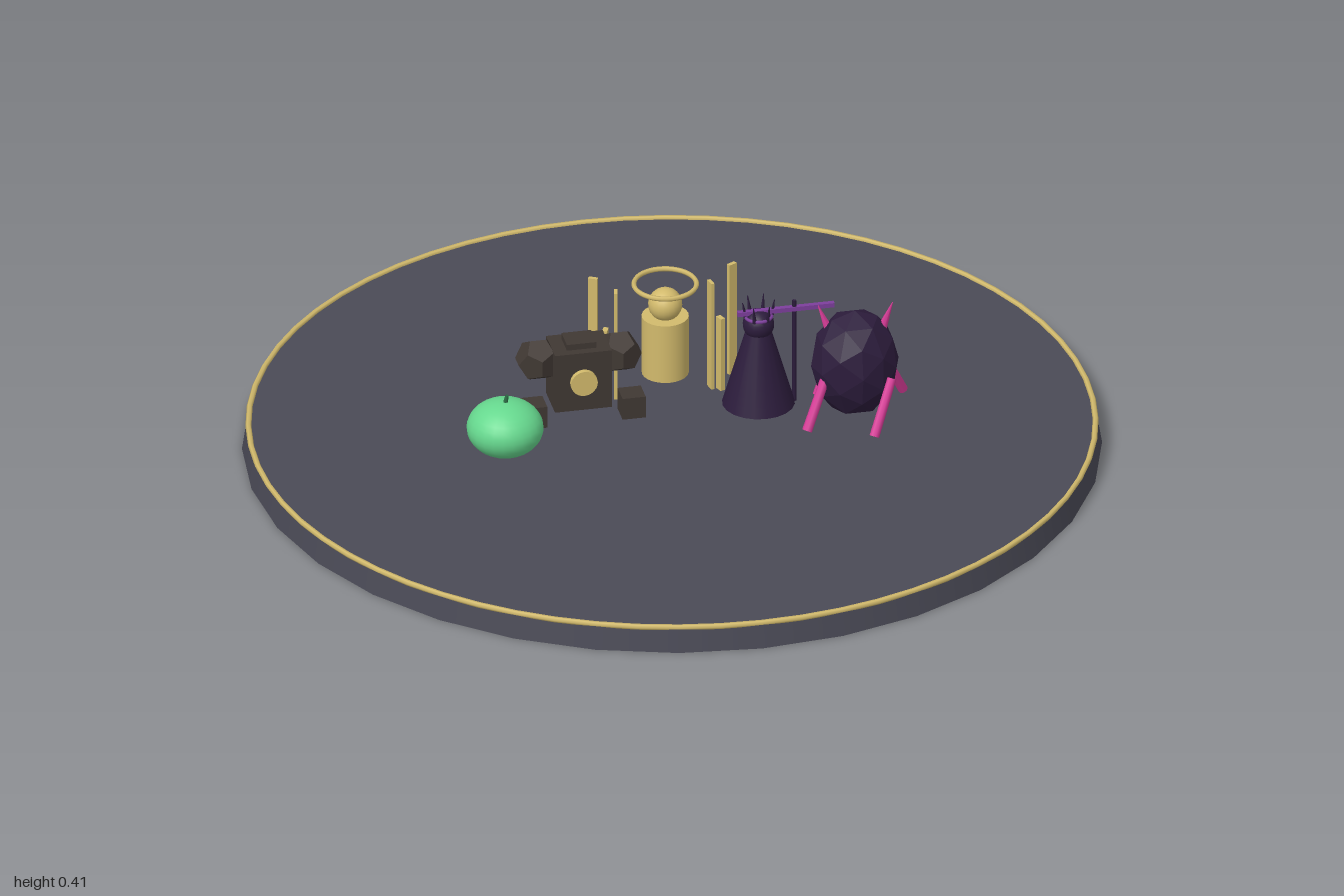
import * as THREE from 'three';

const mat = (name, color, extra = {}) => {
  const m = new THREE.MeshStandardMaterial({ color, ...extra });
  m.name = name;
  return m;
};

export function createModel() {
  const root = new THREE.Group();
  root.name = 'figureDisplay';
  const slate = mat('slate', 0x4a4a56);
  const gold = mat('gold', 0xd2ba6c);
  const green = mat('green', 0x66d88e);
  const darkGreen = mat('darkGreen', 0x2c6a44);
  const stone = mat('stone', 0x403833, { flatShading: true });
  const robe = mat('darkPurple', 0x2c1c3c);
  const shell = mat('shellPurple', 0x2c1c3c, { flatShading: true });
  const violet = mat('violet', 0x7d3f9c);
  const pink = mat('pink', 0xd83c98);

  const group = (name) => {
    const g = new THREE.Group();
    g.name = name;
    root.add(g);
    return g;
  };
  const add = (parent, name, geo, material, x, y, z) => {
    const m = new THREE.Mesh(geo, material);
    m.name = name;
    m.position.set(x, y, z);
    parent.add(m);
    return m;
  };
  const box = (w, h, d) => new THREE.BoxGeometry(w, h, d);
  // Tapered rod from point a to point b
  const rod = (parent, name, material, a, b, ra, rb, sides = 6) => {
    const p = new THREE.Vector3(...a), q = new THREE.Vector3(...b);
    const dir = q.clone().sub(p);
    const m = add(parent, name, new THREE.CylinderGeometry(rb, ra, dir.length(), sides), material, 0, 0, 0);
    m.position.copy(p).add(q).multiplyScalar(0.5);
    m.quaternion.setFromUnitVectors(new THREE.Vector3(0, 1, 0), dir.normalize());
    return m;
  };

  // Round base with a gold rim
  const base = group('base');
  add(base, 'disc', new THREE.CylinderGeometry(0.99, 1, 0.06, 32), slate, 0, 0.03, 0);
  const rim = add(base, 'rim', new THREE.TorusGeometry(0.985, 0.007, 6, 64), gold, 0, 0.06, 0);
  rim.rotation.x = Math.PI / 2;

  // Green blob with a small stem
  const blob = group('blob');
  add(blob, 'blobBody', new THREE.SphereGeometry(0.09, 24, 16), green, -0.41, 0.128, 0.06).scale.y = 0.75;
  rod(blob, 'stem', darkGreen, [-0.41, 0.19, 0.06], [-0.405, 0.212, 0.06], 0.006, 0.004);

  // Stone guardian
  const guardian = group('stoneGuardian');
  add(guardian, 'torso', box(0.135, 0.15, 0.1), stone, -0.215, 0.205, -0.03);
  add(guardian, 'head', box(0.07, 0.05, 0.06), stone, -0.215, 0.27, -0.03);
  for (const s of [-1, 1]) {
    add(guardian, 'shoulder', new THREE.DodecahedronGeometry(0.054, 0), stone, -0.215 + s * 0.096, 0.245, -0.035);
    add(guardian, 'fist', box(0.055, 0.055, 0.055), stone, -0.215 + s * 0.117, 0.13, 0.01);
  }
  const core = add(guardian, 'core', new THREE.CylinderGeometry(0.032, 0.032, 0.02, 16), gold, -0.215, 0.205, 0.022);
  core.rotation.x = Math.PI / 2;

  // Golden winged figure with a halo
  const angel = group('wingedFigure');
  const az = -0.075;
  add(angel, 'robe', new THREE.CylinderGeometry(0.055, 0.055, 0.15, 24), gold, 0, 0.23, az);
  add(angel, 'head', new THREE.SphereGeometry(0.04, 20, 14), gold, 0, 0.335, az);
  const halo = add(angel, 'halo', new THREE.TorusGeometry(0.073, 0.006, 6, 40), gold, 0, 0.388, az);
  halo.rotation.x = Math.PI / 2;
  for (const s of [-1, 1]) {
    // Three upright feathers per wing
    add(angel, 'tallFeather', box(0.022, 0.29, 0.01), gold, s * 0.165, 0.262, -0.105).rotation.y = s * 0.5;
    add(angel, 'shortFeather', box(0.012, 0.19, 0.02), gold, s * 0.137, 0.175, -0.1).rotation.y = s * 0.4;
    add(angel, 'innerFeather', box(0.008, 0.28, 0.024), gold, s * 0.113, 0.23, -0.095).rotation.y = s * 0.2;
  }

  // Robed figure with a spiked crown and a scythe
  const queen = group('robedFigure');
  const qx = 0.21, qz = -0.02;
  add(queen, 'robe', new THREE.CylinderGeometry(0.03, 0.085, 0.19, 20), robe, qx, 0.175, qz);
  add(queen, 'head', new THREE.SphereGeometry(0.037, 18, 12), robe, qx, 0.287, qz);
  const crown = add(queen, 'crown', new THREE.TorusGeometry(0.031, 0.004, 6, 24), violet, qx, 0.308, qz);
  crown.rotation.x = Math.PI / 2;
  for (let i = 0; i < 6; i++) {
    const a = i * Math.PI / 3, c = Math.cos(a), s = Math.sin(a);
    rod(queen, 'crownSpike', robe, [qx + c * 0.03, 0.305, qz + s * 0.03], [qx + c * 0.038, 0.347, qz + s * 0.038], 0.006, 0.001, 5);
  }
  rod(queen, 'staff', robe, [0.295, 0.075, qz], [0.295, 0.34, qz], 0.005, 0.005);
  add(queen, 'blade', box(0.23, 0.011, 0.012), violet, 0.275, 0.319, qz);

  // Faceted shell creature with horns and slanted legs
  const beast = group('shellCreature');
  add(beast, 'shell', new THREE.IcosahedronGeometry(0.104, 1), shell, 0.425, 0.197, 0.045).scale.set(1, 1.3, 0.92);
  rod(beast, 'horn', pink, [0.365, 0.285, 0.03], [0.342, 0.345, 0.025], 0.011, 0.001);
  rod(beast, 'horn', pink, [0.49, 0.285, 0.05], [0.513, 0.35, 0.055], 0.011, 0.001);
  const legs = [
    [[0.35, 0.19, 0.08], [0.295, 0.07, 0.122]],
    [[0.495, 0.19, 0.13], [0.442, 0.07, 0.182]],
    [[0.41, 0.19, -0.085], [0.355, 0.07, -0.04]],
    [[0.5, 0.19, 0.02], [0.555, 0.07, -0.028]],
  ];
  for (const [top, foot] of legs) rod(beast, 'leg', pink, top, foot, 0.011, 0.012, 8);

  return root;
}
